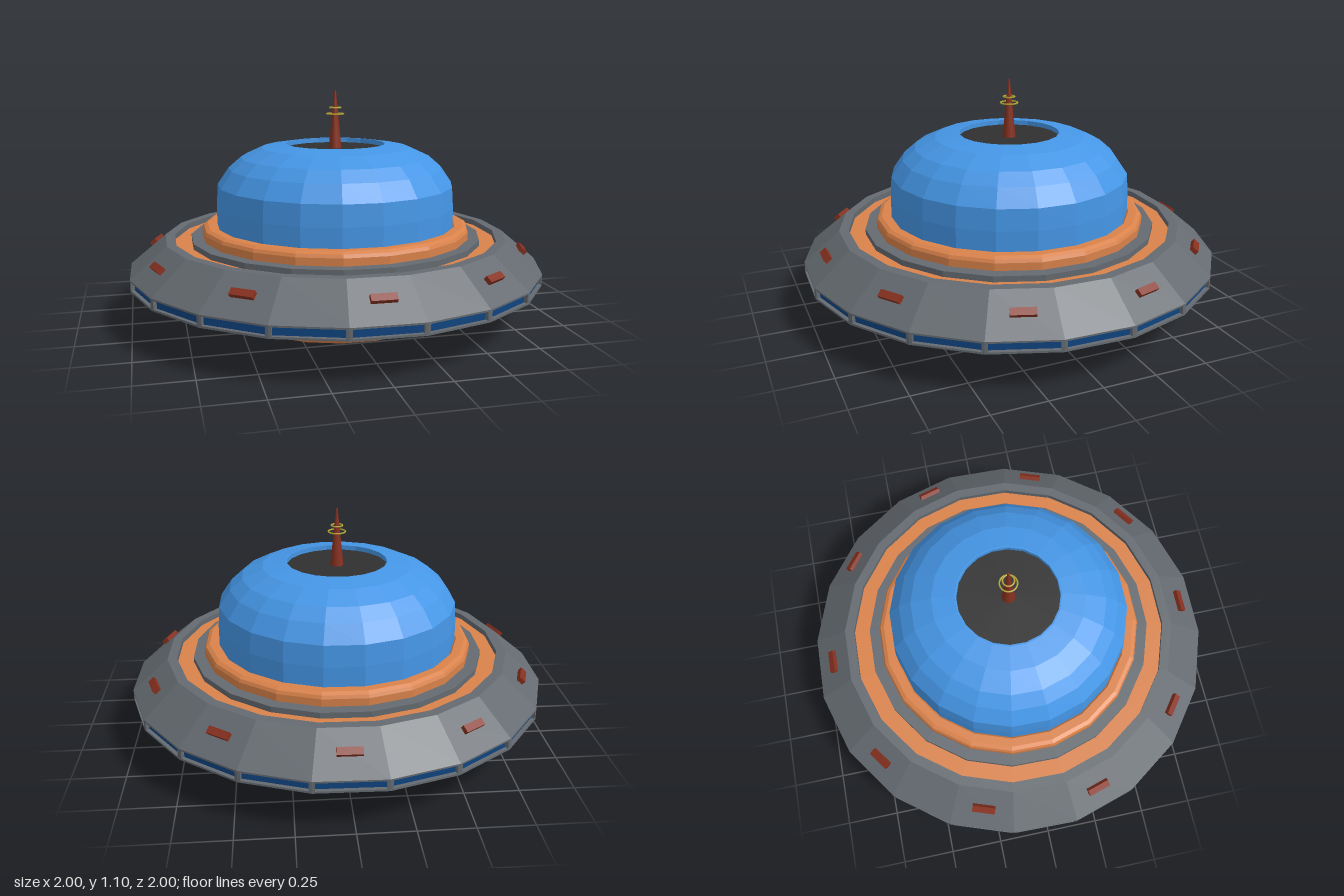
import * as THREE from 'three';

const SIDES = 20;
const TURN = THREE.MathUtils.degToRad(7.7); // angle of the first hull corner
const STEP = (Math.PI * 2) / SIDES;
const R = 1.009; // rim corner radius
const APOTHEM = R * Math.cos(STEP / 2);

const mat = (name, color) => {
  const m = new THREE.MeshStandardMaterial({ color });
  m.name = name;
  return m;
};

// Faceted solid of revolution; profile runs outward, up, then inward
function facetedLathe(profile) {
  const pts = profile.map(([r, y]) => new THREE.Vector2(r, y));
  const g = new THREE.LatheGeometry(pts, SIDES, TURN, Math.PI * 2).toNonIndexed();
  g.computeVertexNormals();
  return g;
}

export function createModel() {
  const model = new THREE.Group();
  const grey = mat('hull grey', 0x646a70);
  const orange = mat('orange trim', 0xd9824a);
  const blue = mat('dome blue', 0x4596e6);
  const dark = mat('charcoal', 0x313030);
  const red = mat('signal red', 0x86301f);
  const yellow = mat('antenna yellow', 0xb5a535);
  const navy = mat('window navy', 0x0f4480);
  const teal = mat('hatch teal', 0x3c6478);

  const add = (name, geometry, material, parent = model) => {
    const mesh = new THREE.Mesh(geometry, material);
    mesh.name = name;
    parent.add(mesh);
    return mesh;
  };

  // Saucer hull with a recessed rim band and a groove on the top deck
  add('hull', facetedLathe([
    [0.3, 0.06], [0.5, 0.06], [R, 0.2], [0.985, 0.2], [0.985, 0.255], [R, 0.255],
    [0.836, 0.4], [0.79, 0.4], [0.79, 0.37], [0.71, 0.37], [0.71, 0.4], [0.56, 0.4],
  ]), grey);
  add('grooveStripe', facetedLathe([[0.79, 0.373], [0.71, 0.373]]), orange);

  // Rim windows behind framed openings, one per hull side
  add('rimWindows', facetedLathe([[0.99, 0.2], [0.99, 0.255]]), navy);
  const w = R * Math.sin(STEP / 2);
  const frame = new THREE.Shape([
    new THREE.Vector2(-w, 0.2), new THREE.Vector2(w, 0.2),
    new THREE.Vector2(w, 0.255), new THREE.Vector2(-w, 0.255),
  ]);
  frame.holes.push(new THREE.Path([
    new THREE.Vector2(-w + 0.013, 0.209), new THREE.Vector2(-w + 0.013, 0.247),
    new THREE.Vector2(w - 0.013, 0.247), new THREE.Vector2(w - 0.013, 0.209),
  ]));
  const frameGeo = new THREE.ExtrudeGeometry(frame, { depth: 0.018, bevelEnabled: false });
  frameGeo.translate(0, 0, APOTHEM - 0.018);
  const lampGeo = new THREE.BoxGeometry(0.11, 0.034, 0.026);
  for (let i = 0; i < SIDES; i++) {
    const side = new THREE.Group();
    side.name = 'rimSection';
    side.rotation.y = TURN + (i - 0.5) * STEP;
    model.add(side);
    add('windowFrame', frameGeo, grey, side);
    // A signal lamp sits on every second sloping panel
    if (i % 2 === 0) {
      const lamp = add('signalLamp', lampGeo, red, side);
      lamp.position.set(0, 0.337, 0.913);
      lamp.rotation.x = -0.87;
    }
  }

  // Rounded collar around the dome
  add('collar', facetedLathe([
    [0.655, 0.4], [0.655, 0.435], [0.648, 0.45], [0.63, 0.46], [0.59, 0.46], [0.57, 0.44],
  ]), orange);

  // Dome with an open top
  add('dome', facetedLathe([
    [0.582, 0.44], [0.582, 0.55], [0.575, 0.65], [0.52, 0.73], [0.46, 0.782],
    [0.36, 0.828], [0.25, 0.845], [0.242, 0.845], [0.242, 0.81],
  ]), blue);
  const cap = add('domeCap', new THREE.CircleGeometry(0.246, 40), dark);
  cap.rotation.x = -Math.PI / 2;
  cap.position.y = 0.822;

  // Antenna with two thin rings
  const mast = add('antennaMast', new THREE.CylinderGeometry(0.004, 0.032, 0.28, 12), red);
  mast.position.y = 0.96;
  for (const [y, r] of [[0.988, 0.041], [1.018, 0.027]]) {
    const ring = add('antennaRing', new THREE.TorusGeometry(r, 0.004, 6, 20), yellow);
    ring.rotation.x = Math.PI / 2;
    ring.position.y = y;
  }

  // Landing ring and recessed hatch underneath
  add('landingRing', facetedLathe([
    [0.36, 0.04], [0.36, 0.004], [0.365, 0], [0.495, 0], [0.515, 0.008], [0.525, 0.025], [0.525, 0.07], [0.5, 0.07],
  ]), orange);
  const hatch = add('bottomHatch', new THREE.CircleGeometry(0.365, 40), teal);
  hatch.rotation.x = Math.PI / 2;
  hatch.position.y = 0.022;

  return model;
}
